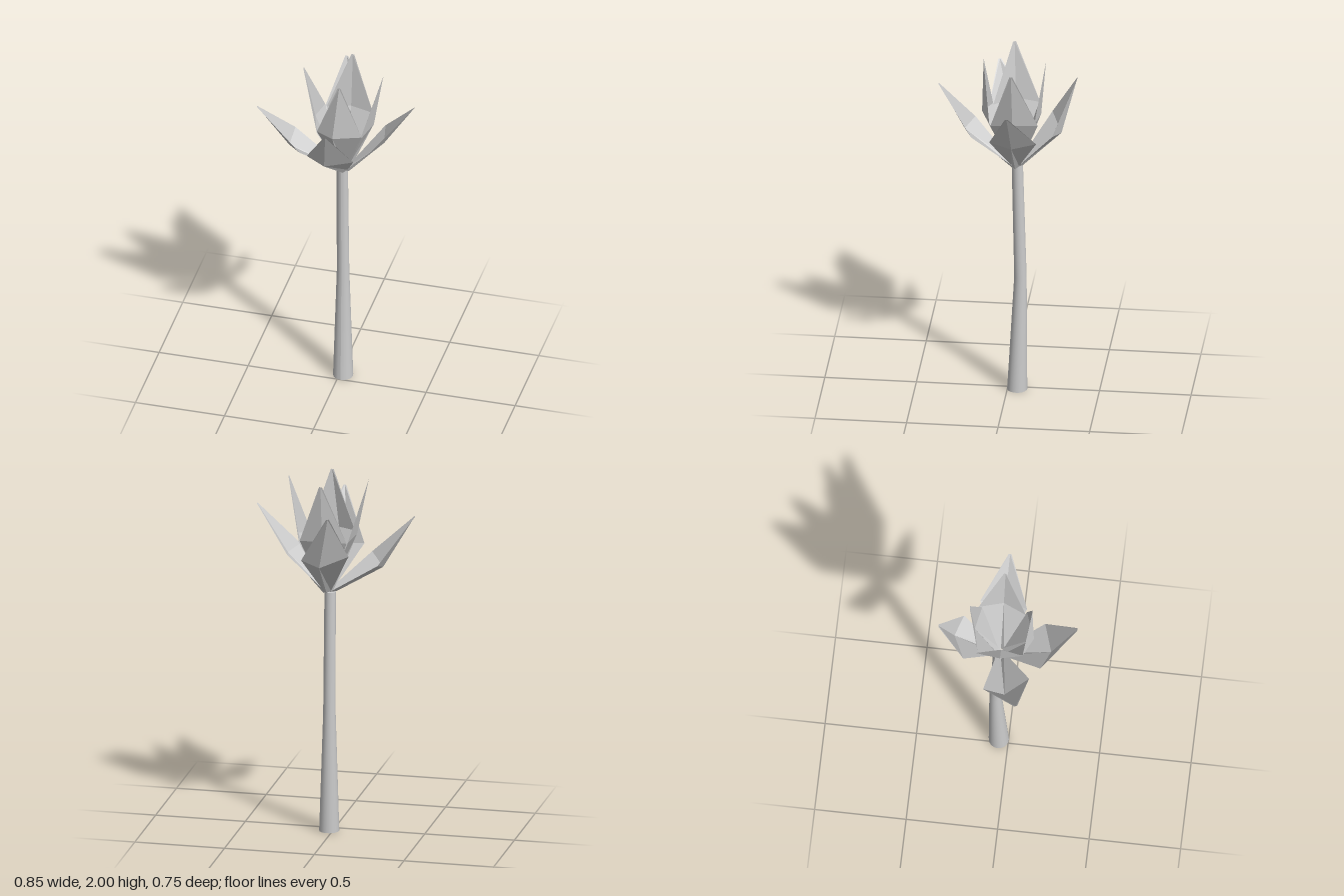
import * as THREE from 'three';

const V = (a) => new THREE.Vector3(...a);
const smooth = new THREE.MeshStandardMaterial({ color: 0xcccccc });
const faceted = new THREE.MeshStandardMaterial({ color: 0xcccccc, flatShading: true, side: THREE.DoubleSide });
const HEART = new THREE.Vector3(0.03, 1.36, -0.045);

// Tapered, slightly bent stalk: three rings given as [x, y, z, radius]
function makeStem() {
  const rings = [[0.02, 0, -0.053, 0.055], [0.015, 0.68, -0.07, 0.034], [0.015, 1.36, -0.053, 0.031]];
  const geo = new THREE.CylinderGeometry(1, 1, 2, 20, 2);
  const pos = geo.attributes.position;
  for (let i = 0; i < pos.count; i++) {
    const [x, y, z, r] = rings[Math.round(pos.getY(i)) + 1];
    pos.setXYZ(i, x + pos.getX(i) * r, y, z + pos.getZ(i) * r);
  }
  geo.computeVertexNormals();
  const stem = new THREE.Mesh(geo, smooth);
  stem.name = 'stem';
  return stem;
}

// Folded petal sheet: narrow foot, wide creased middle, blunt tip
function makePetal(name, [left, mid, right, tip]) {
  const [l, m, r, t] = [left, mid, right, tip].map(V);
  const across = r.clone().sub(l).normalize();
  const out = m.clone().sub(HEART).setY(0).normalize();
  const foot = HEART.clone().addScaledVector(out, 0.015);
  const footEnd = (s) => foot.clone().addScaledVector(across, s * 0.02).addScaledVector(out, -0.006);
  const tipEnd = (s) => t.clone().addScaledVector(across, s * 0.008);
  const keel = foot.clone().addScaledVector(out, 0.008);
  keel.y -= 0.015;
  const rows = [footEnd(-1), keel, footEnd(1), l, m, r, tipEnd(-1), t, tipEnd(1)];
  const index = [];
  for (const row of [0, 3]) {
    for (const col of [0, 1]) {
      const a = row + col, b = a + 1, c = a + 3, d = a + 4;
      // keep the diagonal on the side that leaves the outline clean
      if (col === 0) index.push(a, b, d, a, d, c);
      else index.push(a, b, c, b, d, c);
    }
  }
  const geo = new THREE.BufferGeometry().setFromPoints(rows);
  geo.setIndex(index);
  geo.computeVertexNormals();
  const petal = new THREE.Mesh(geo, faceted);
  petal.name = name;
  return petal;
}

export function createModel() {
  const model = new THREE.Group();
  model.name = 'flower';
  model.add(makeStem());

  // Each petal: left corner, crease, right corner, tip
  const inner = {
    Front: [[-0.09, 1.67, 0.09], [0.01, 1.67, 0.14], [0.16, 1.67, 0.085], [0.045, 2, 0.128]],
    Left: [[0.15, 1.65, 0.08], [0.195, 1.68, -0.045], [0.16, 1.67, -0.18], [0.248, 2, -0.042]],
    Back: [[0.16, 1.67, -0.16], [0.03, 1.68, -0.185], [-0.1, 1.67, -0.155], [0.032, 2, -0.212]],
    Right: [[-0.11, 1.68, -0.165], [-0.13, 1.69, -0.03], [-0.09, 1.66, 0.09], [-0.192, 2, -0.016]],
  };
  const outer = {
    Front: [[-0.12, 1.57, 0.19], [-0.01, 1.55, 0.237], [0.14, 1.57, 0.187], [0.032, 1.835, 0.375]],
    Left: [[0.21, 1.58, 0.08], [0.252, 1.565, -0.045], [0.225, 1.59, -0.178], [0.425, 1.83, -0.037]],
    Back: [[0.13, 1.59, -0.255], [0.02, 1.565, -0.295], [-0.128, 1.62, -0.23], [-0.045, 1.87, -0.375]],
    Right: [[-0.262, 1.54, -0.107], [-0.266, 1.5, 0.01], [-0.176, 1.545, 0.135], [-0.425, 1.775, 0.09]],
  };
  for (const [kind, set] of [['innerPetal', inner], ['outerPetal', outer]]) {
    const ring = new THREE.Group();
    ring.name = kind + 's';
    for (const side in set) ring.add(makePetal(kind + side, set[side]));
    model.add(ring);
  }
  return model;
}
